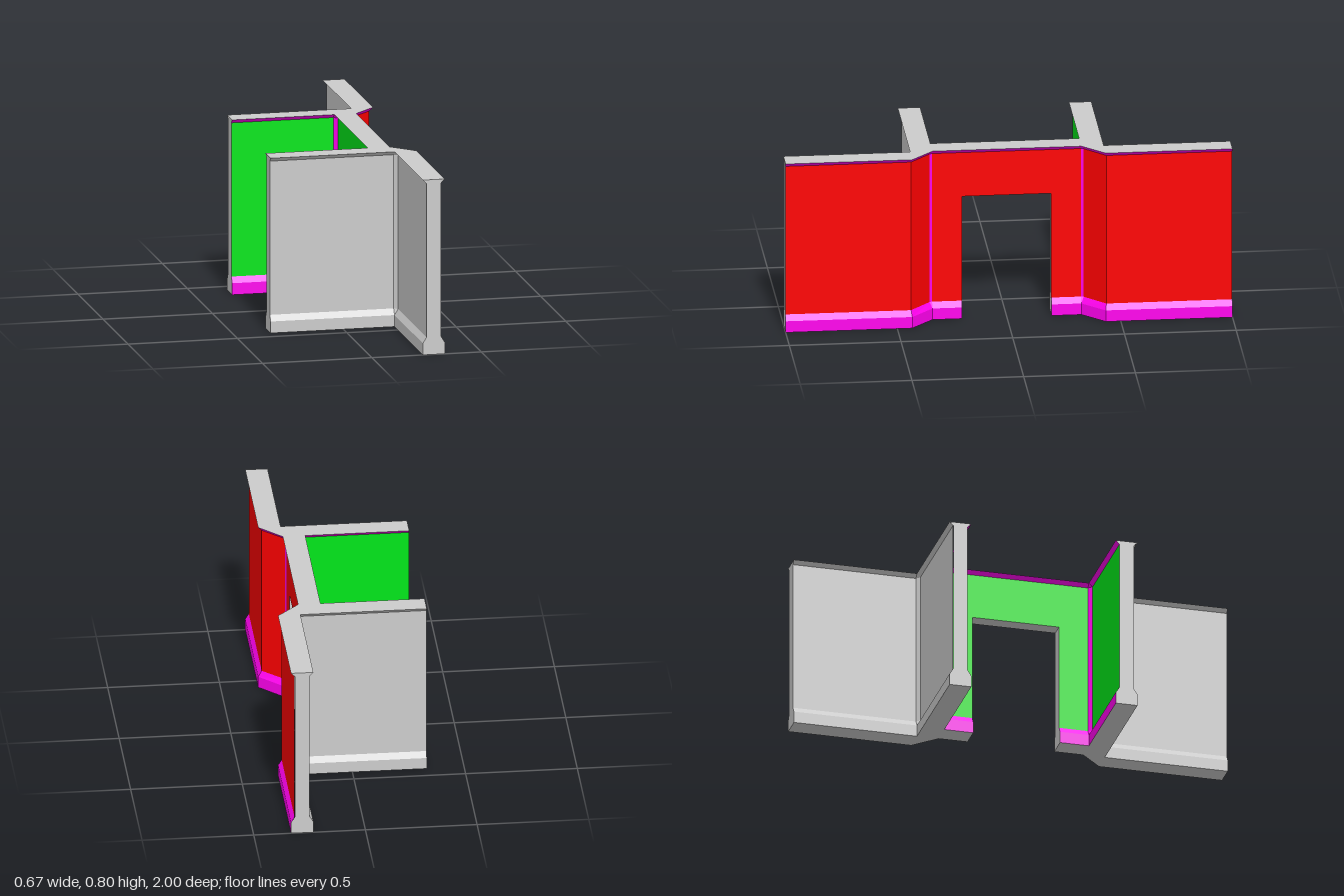
import * as THREE from 'three';

const GREY = 0xcccccc, RED = 0xff0000, GREEN = 0x00e619, MAGENTA = 0xff00ee;
const H = 0.8, BASE = 0.053, LOW = 0.08, HIGH = 0.783, DOOR = 0.575, DOOR_Z = 0.2;

const materials = new Map();
function material(color) {
  if (!materials.has(color)) {
    materials.set(color, new THREE.MeshStandardMaterial({ color, flatShading: true }));
  }
  return materials.get(color);
}

function mesh(name, geometry, color) {
  const m = new THREE.Mesh(geometry, material(color));
  m.name = name;
  return m;
}

// Collects quads (counter-clockwise corners) into one flat-shaded geometry.
function quads(list) {
  const pos = [];
  for (const [a, b, c, d] of list) pos.push(...a, ...b, ...c, ...a, ...c, ...d);
  const g = new THREE.BufferGeometry();
  g.setAttribute('position', new THREE.Float32BufferAttribute(pos, 3));
  g.computeVertexNormals();
  return g;
}

// One side of the walls: nodes are [outerX, outerZ, insetX, insetZ].
// Two nodes sharing an outer point make a narrow corner strip.
function wallSide(name, nodes, faceColor, trimColor, overDoor = false) {
  const faces = [], trim = [];
  const outer = (n, y) => [n[0], y, n[1]];
  const inset = (n, y) => [n[2], y, n[3]];
  for (let i = 0; i + 1 < nodes.length; i++) {
    const a = nodes[i], b = nodes[i + 1];
    const strip = a[0] === b[0] && a[1] === b[1];
    const bottom = overDoor ? DOOR : LOW;
    (strip ? trim : faces).push([inset(a, bottom), inset(b, bottom), inset(b, HIGH), inset(a, HIGH)]);
    trim.push([inset(a, HIGH), inset(b, HIGH), outer(b, H), outer(a, H)]);
    if (overDoor) continue;
    if (!strip) trim.push([outer(a, 0), outer(b, 0), outer(b, BASE), outer(a, BASE)]);
    trim.push([outer(a, BASE), outer(b, BASE), inset(b, LOW), inset(a, LOW)]);
  }
  const g = new THREE.Group();
  g.name = name;
  g.add(mesh(name + 'Panels', quads(faces), faceColor), mesh(name + 'Trim', quads(trim), trimColor));
  return g;
}

// Wall cross-section with a skirting and a cornice, used to close wall ends.
function endCap(name, x, z, turn, doorJamb = false) {
  const half = doorJamb
    ? [[0.05, 0], [0.05, BASE], [0.0333, LOW], [0.0333, DOOR]]
    : [[0.05, 0], [0.05, BASE], [0.0333, LOW], [0.0333, HIGH], [0.05, H]];
  const points = [...half, ...half.map(([s, y]) => [-s, y]).reverse()];
  const shape = new THREE.Shape(points.map(p => new THREE.Vector2(...p)));
  const m = mesh(name, new THREE.ShapeGeometry(shape), GREY);
  m.position.set(x, 0, z);
  m.rotation.y = turn;
  return m;
}

// Horizontal face over a plan outline of [x, z] points.
function slab(name, outline, y, up) {
  const shape = new THREE.Shape(outline.map(([x, z]) => new THREE.Vector2(x, up ? -z : z)));
  const g = new THREE.ShapeGeometry(shape);
  g.rotateX(up ? -Math.PI / 2 : Math.PI / 2);
  g.translate(0, y, 0);
  return mesh(name, g, GREY);
}

export function createModel() {
  const model = new THREE.Group();
  model.name = 'wallSection';

  // Three wall sides of the +z half
  const facade = [
    [0.333, 1, 0.317, 1], [0.333, 0.433, 0.317, 0.437],
    [0.233, 0.333, 0.221, 0.345], [0.233, 0.333, 0.217, 0.333],
    [0.233, DOOR_Z, 0.217, DOOR_Z]];
  const room = [
    [0.133, DOOR_Z, 0.15, DOOR_Z], [0.133, 0.333, 0.15, 0.333],
    [0.133, 0.333, 0.133, 0.35], [-0.333, 0.333, -0.333, 0.35]];
  const outside = [
    [-0.333, 0.433, -0.333, 0.417], [0.133, 0.433, 0.133, 0.417],
    [0.233, 0.433, 0.233, 0.417], [0.233, 0.433, 0.25, 0.433], [0.233, 1, 0.25, 1]];
  const plan = [...facade, ...room, ...outside].map(n => [n[0], n[1]])
    .filter((p, i, all) => !i || p[0] !== all[i - 1][0] || p[1] !== all[i - 1][1]);

  for (const s of [1, -1]) {
    const side = s > 0 ? 'front' : 'back';
    const flip = nodes => s > 0 ? nodes : nodes.map(([a, b, c, d]) => [a, -b, c, -d]).reverse();
    model.add(
      wallSide(side + 'Facade', flip(facade), RED, MAGENTA),
      wallSide(side + 'RoomWall', flip(room), GREEN, MAGENTA),
      wallSide(side + 'OutsideWall', flip(outside), GREY, GREY),
      endCap(side + 'WingEnd', 0.283, s, s > 0 ? 0 : Math.PI),
      endCap(side + 'SideWallEnd', -0.333, s * 0.383, -Math.PI / 2),
      endCap(side + 'DoorJamb', 0.183, s * DOOR_Z, s > 0 ? Math.PI : 0, true));
    const half = plan.map(([x, z]) => [x, s * z]);
    model.add(slab(side + 'Underside', half, 0, false));
  }

  // Wall above the doorway
  const z = DOOR_Z;
  model.add(
    wallSide('lintelFacade', [[0.233, z, 0.217, z], [0.233, -z, 0.217, -z]], RED, MAGENTA, true),
    wallSide('lintelRoom', [[0.133, -z, 0.15, -z], [0.133, z, 0.15, z]], GREEN, MAGENTA, true),
    slab('doorSoffit', [[0.15, -z], [0.217, -z], [0.217, z], [0.15, z]], DOOR, false));

  // Continuous top of the walls
  const without = plan.filter(p => p[1] !== DOOR_Z);
  const cut = without.findIndex(p => p[0] === 0.133);
  const front = without.slice(0, cut), rear = without.slice(cut);
  const mirror = list => list.map(([x, zz]) => [x, -zz]).reverse();
  model.add(slab('wallTop', [...front, ...mirror(front), ...mirror(rear), ...rear], H, true));

  return model;
}
